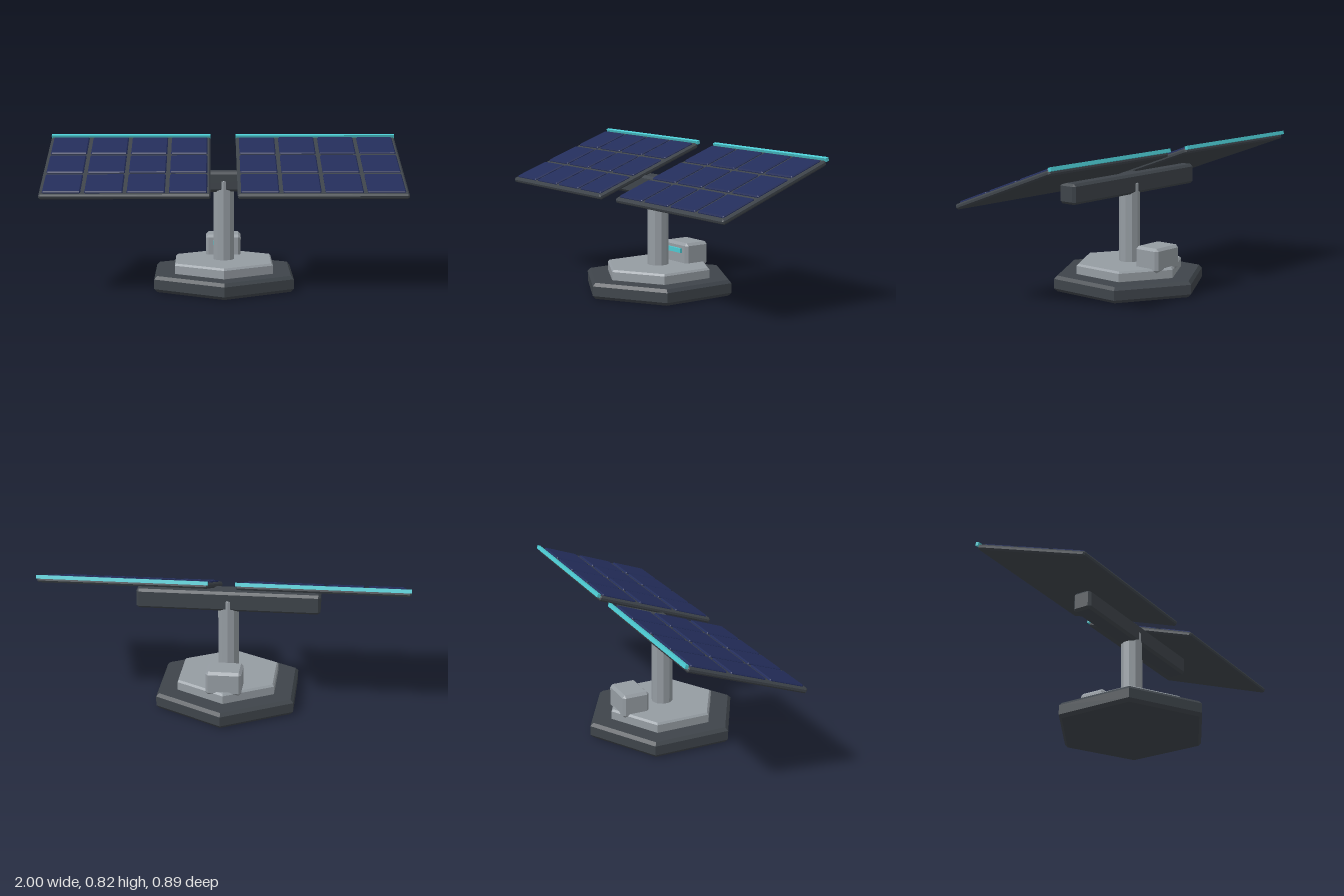
import * as THREE from 'three';
import { ConvexGeometry } from 'three/addons/geometries/ConvexGeometry.js';

const makeMaterial = (name, color) => {
  const m = new THREE.MeshStandardMaterial({ color, flatShading: true });
  m.name = name;
  return m;
};

// Box with chamfered edges, centred on its origin
function chamferBox(w, h, d, c) {
  const pts = [];
  for (const x of [-1, 1]) for (const y of [-1, 1]) for (const z of [-1, 1]) {
    const [a, b, e] = [w / 2, h / 2, d / 2];
    pts.push(
      new THREE.Vector3(x * a, y * (b - c), z * (e - c)),
      new THREE.Vector3(x * (a - c), y * b, z * (e - c)),
      new THREE.Vector3(x * (a - c), y * (b - c), z * e),
    );
  }
  return new ConvexGeometry(pts);
}

// Upright prism with chamfered rims and a corner facing +z
function chamferPrism(r, y0, y1, c, sides) {
  const profile = [[0, y0], [r - c, y0], [r, y0 + c], [r, y1 - c], [r - c, y1], [0, y1]];
  return new THREE.LatheGeometry(profile.map(([x, y]) => new THREE.Vector2(x, y)), sides);
}

export function createModel() {
  const dark = makeMaterial('dark metal', 0x3e444a);
  const grey = makeMaterial('light grey metal', 0x959ca2);
  const navy = makeMaterial('solar cell navy', 0x232d5a);
  const cyan = makeMaterial('cyan light', 0x4ccad2);

  const model = new THREE.Group();
  model.name = 'solarArray';
  const add = (parent, name, geometry, material, x = 0, y = 0, z = 0) => {
    const mesh = new THREE.Mesh(geometry, material);
    mesh.name = name;
    mesh.position.set(x, y, z);
    parent.add(mesh);
    return mesh;
  };

  // Stepped hexagonal base and mast
  add(model, 'base', chamferPrism(0.445, 0, 0.09, 0.018, 6), dark);
  add(model, 'deck', chamferPrism(0.315, 0.08, 0.148, 0.011, 6), grey);
  add(model, 'mast', chamferPrism(0.06, 0.13, 0.6, 0.006, 10), grey);

  // Control box behind the mast, with its indicator
  add(model, 'controlBox', chamferBox(0.2, 0.137, 0.159, 0.015), grey, 0, 0.1935, -0.2045);
  add(model, 'indicator', new THREE.BoxGeometry(0.12, 0.025, 0.016), cyan, 0, 0.218, -0.12);

  // Crossbeam carrying both panels
  add(model, 'crossbeam', chamferBox(1.03, 0.113, 0.112, 0.014), dark, 0, 0.592, 0);

  // Tilted panels: frame, 4 x 3 cells and a light strip along the high edge
  const cell = chamferBox(0.206, 0.016, 0.213, 0.006);
  const frame = chamferBox(0.927, 0.03, 0.73, 0.009);
  const strip = new THREE.BoxGeometry(0.927, 0.02, 0.018);
  for (const side of [-1, 1]) {
    const panel = new THREE.Group();
    panel.name = side > 0 ? 'leftPanel' : 'rightPanel';
    panel.position.set(side * 0.5365, 0.67, 0);
    panel.rotation.x = THREE.MathUtils.degToRad(20);
    add(panel, 'panelFrame', frame, dark);
    add(panel, 'lightStrip', strip, cyan, 0, 0.014, -0.374);
    for (let i = 0; i < 4; i++) {
      for (let j = 0; j < 3; j++) {
        add(panel, 'solarCell', cell, navy, (i - 1.5) * 0.228, 0.0165, (j - 1) * 0.237);
      }
    }
    model.add(panel);
  }
  return model;
}
